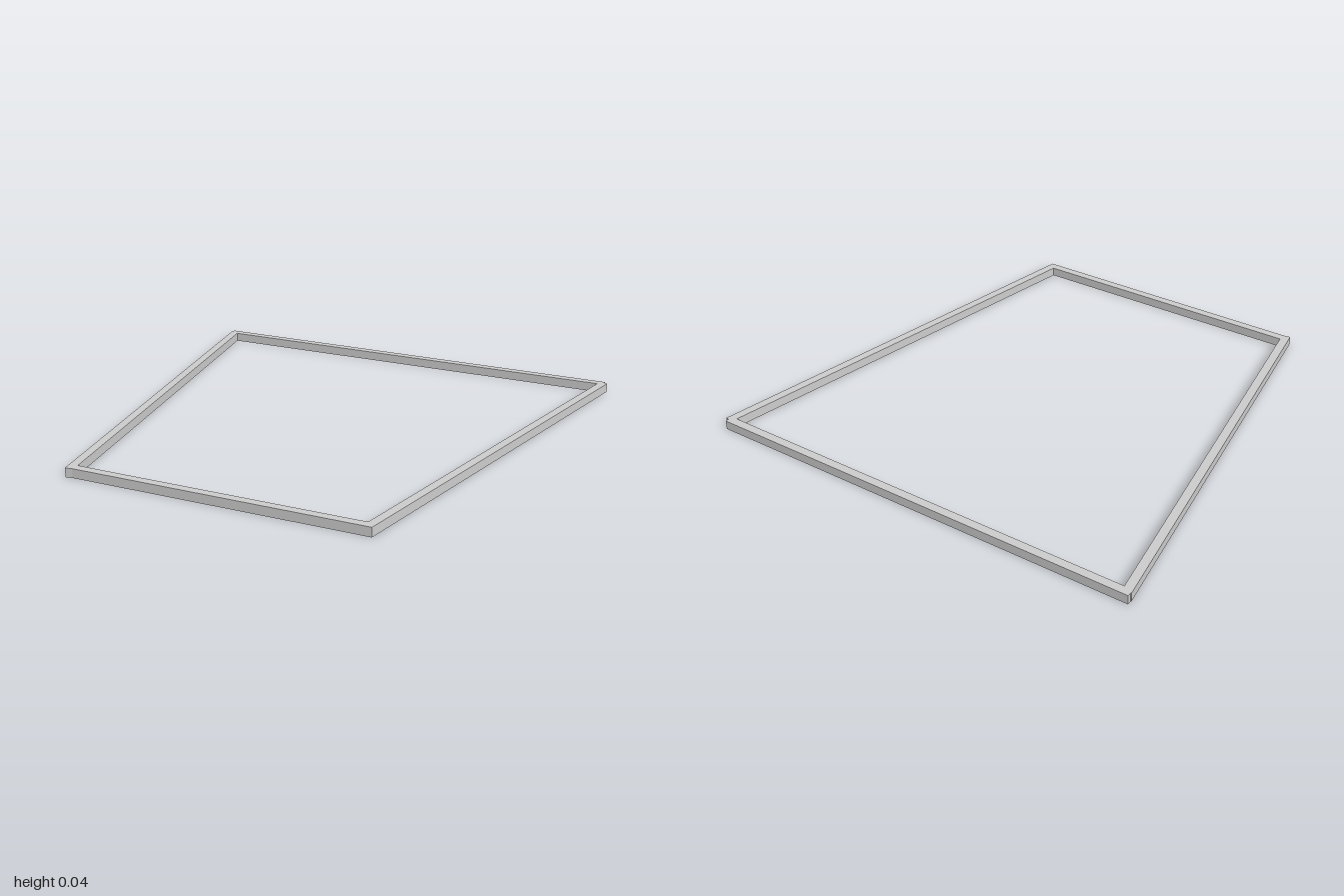
import * as THREE from 'three';

const T = 0.038; // bar thickness
const H = 0.04;  // bar height

// Square-ended bar whose outer lower edge runs from a to b (x, z pairs); body lies on the inner side
function bar(name, a, b, material) {
  const dx = b[0] - a[0], dz = b[1] - a[1];
  const length = Math.hypot(dx, dz);
  const geometry = new THREE.BoxGeometry(length, H, T);
  geometry.translate(length / 2, H / 2, -T / 2);
  const mesh = new THREE.Mesh(geometry, material);
  mesh.position.set(a[0], 0, a[1]);
  mesh.rotation.y = Math.atan2(-dz, dx);
  mesh.name = name;
  return mesh;
}

export function createModel() {
  const group = new THREE.Group();
  group.name = 'taperedFrame';
  const material = new THREE.MeshStandardMaterial({ color: 0xcccccc, flatShading: true });

  // Four bars, laid around the trapezoid with their outer edges on its outline
  group.add(
    bar('frontBar', [-0.66, 0.98], [0.652, 0.98], material),
    bar('leftBar', [0.653, 0.98], [1.0, -0.966], material),
    bar('backBar', [0.985, -0.985], [-0.997, -0.985], material),
    bar('rightBar', [-1.0, -0.967], [-0.673, 0.985], material),
  );
  return group;
}
